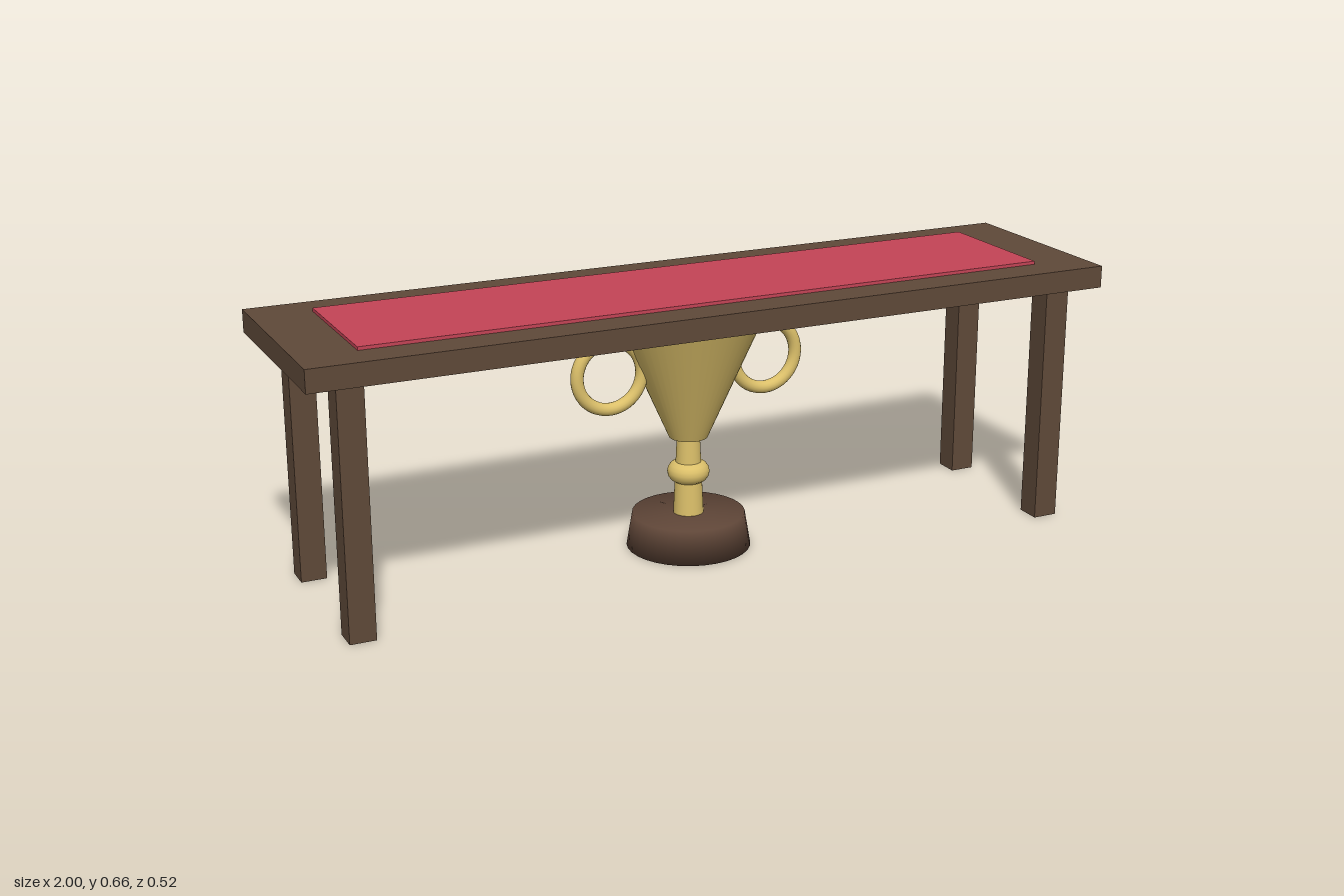
import * as THREE from 'three';

export function createModel() {
  const model = new THREE.Group();
  const material = (name, color) => {
    const m = new THREE.MeshStandardMaterial({ color });
    m.name = name;
    return m;
  };
  const wood = material('table wood', 0x5f4939);
  const darkWood = material('trophy base wood', 0x5e4537);
  const red = material('red cloth', 0xc44456);
  const gold = material('gold', 0xdcc06a);

  const add = (parent, name, geometry, mat, x, y, z) => {
    const mesh = new THREE.Mesh(geometry, mat);
    mesh.name = name;
    mesh.position.set(x, y, z);
    parent.add(mesh);
    return mesh;
  };

  // Table: top, cloth runner and four square legs
  const table = new THREE.Group();
  table.name = 'table';
  model.add(table);
  add(table, 'tableTop', new THREE.BoxGeometry(2, 0.054, 0.516), wood, 0, 0.622, 0);
  add(table, 'clothRunner', new THREE.BoxGeometry(1.72, 0.008, 0.344), red, 0, 0.653, 0);
  const leg = new THREE.BoxGeometry(0.062, 0.595, 0.062);
  for (const x of [-1, 1]) {
    for (const z of [-1, 1]) {
      add(table, 'tableLeg', leg, wood, x * 0.896, 0.2975, z * 0.194);
    }
  }

  // Trophy cup standing under the table
  const trophy = new THREE.Group();
  trophy.name = 'trophy';
  model.add(trophy);

  // Base with softly shaded edges
  const baseProfile = [[0, 0], [0.152, 0], [0.138, 0.083], [0, 0.083]]
    .map(([r, y]) => new THREE.Vector2(r, y));
  add(trophy, 'trophyBase', new THREE.LatheGeometry(baseProfile, 32), darkWood, 0, 0, 0);

  // Tapered stem with a round knob
  add(trophy, 'stem', new THREE.CylinderGeometry(0.028, 0.037, 0.196, 32), gold, 0, 0.181, 0);
  const ring = (name, radius, tube, x, y) =>
    add(trophy, name, new THREE.TorusGeometry(radius, tube, 16, 48), gold, x, y, 0);
  ring('stemKnob', 0.025, 0.0265, 0, 0.188).rotation.x = Math.PI / 2;

  // Bowl, rim and ring handles
  add(trophy, 'bowl', new THREE.CylinderGeometry(0.187, 0.047, 0.318, 48), gold, 0, 0.436, 0);
  ring('bowlRim', 0.187, 0.016, 0, 0.594).rotation.x = Math.PI / 2;
  for (const side of [-1, 1]) {
    ring(side > 0 ? 'leftHandle' : 'rightHandle', 0.083, 0.0155, side * 0.205, 0.457);
  }

  return model;
}
